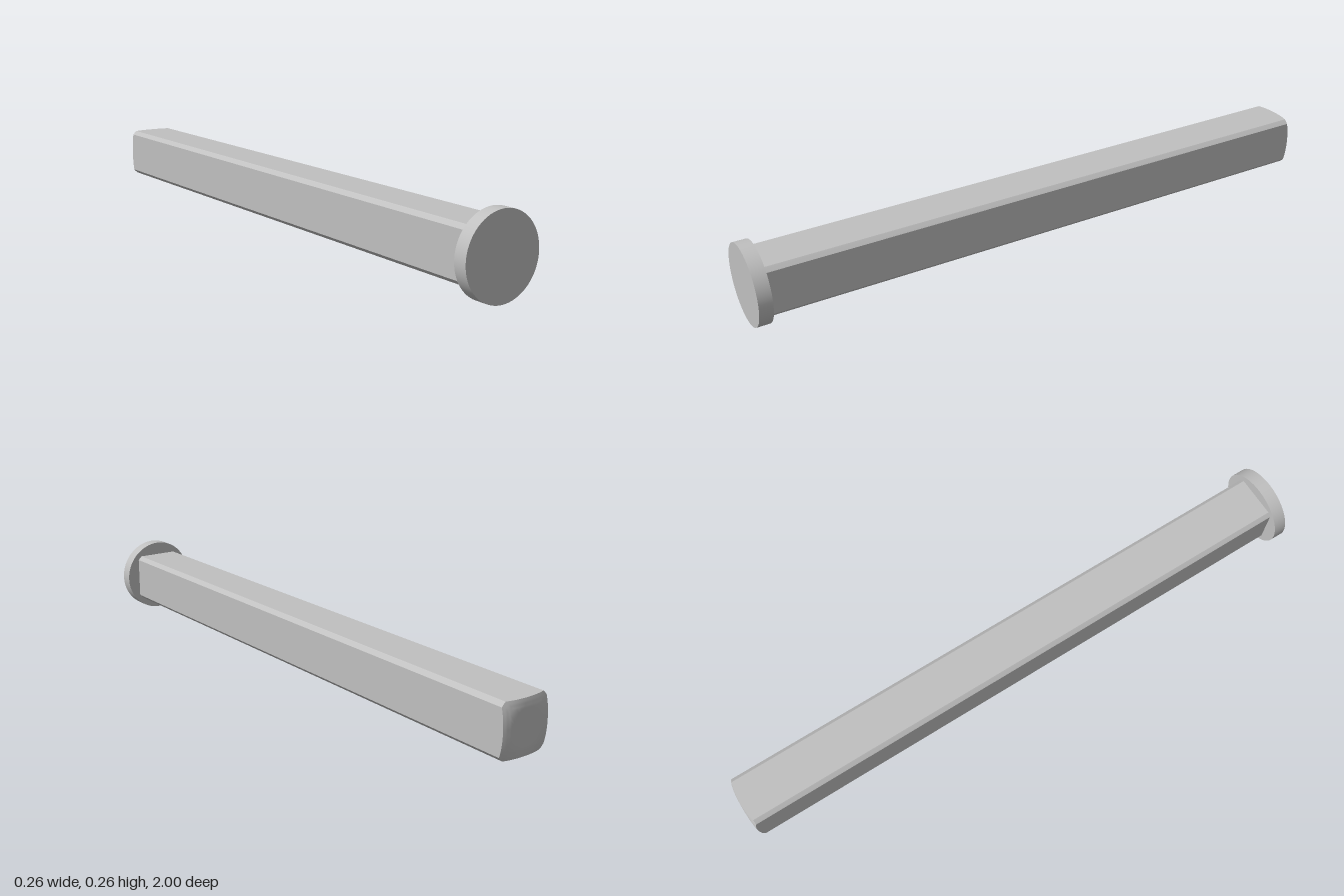
import * as THREE from 'three';
import { toCreasedNormals } from 'three/addons/utils/BufferGeometryUtils.js';

const AXIS_Y = 0.128;
const HALF = 0.083;        // half width of the square bar
const CORNER_R = 0.1085;   // radius of the turned corners
const HEAD_R = 0.128;
const HEAD_BACK = 0.957;

// Square outline whose corners are trimmed by a circle, counter-clockwise
function barOutline() {
  const points = [];
  const reach = Math.sqrt(CORNER_R ** 2 - HALF ** 2);
  const start = Math.atan2(reach, HALF);
  const sideSteps = 12, arcSteps = 3;
  for (let q = 0; q < 4; q++) {
    const turn = q * Math.PI / 2;
    const add = (x, y) => points.push(new THREE.Vector2(x, y).rotateAround(new THREE.Vector2(), turn));
    for (let i = 0; i < sideSteps; i++) add(HALF, reach * (2 * i / sideSteps - 1));
    for (let i = 0; i < arcSteps; i++) {
      const a = start + (Math.PI / 2 - 2 * start) * i / arcSteps;
      add(CORNER_R * Math.cos(a), CORNER_R * Math.sin(a));
    }
  }
  return points;
}

// The far end is flat in the middle and falls away towards the corners
const endZ = r => -1 + 4.5 * Math.max(0, r - 0.055) ** 2;

function barGeometry() {
  const outline = barOutline(), n = outline.length, rings = 12;
  const positions = [], index = [];
  // Rings of the rounded end, then one ring inside the head
  for (let k = 0; k <= rings + 1; k++) {
    const s = Math.min(1, k / rings);
    for (const p of outline) {
      const z = k > rings ? HEAD_BACK + 0.01 : endZ(p.length() * s);
      positions.push(p.x * s, p.y * s, z);
    }
  }
  for (let k = 0; k <= rings; k++) {
    for (let i = 0; i < n; i++) {
      const j = (i + 1) % n;
      const a = k * n + i, b = k * n + j, c = a + n, d = b + n;
      if (k > 0) index.push(a, b, d);
      index.push(a, d, c);
    }
  }
  const geometry = new THREE.BufferGeometry();
  geometry.setAttribute('position', new THREE.Float32BufferAttribute(positions, 3));
  geometry.setIndex(index);
  return toCreasedNormals(geometry, 0.5);
}

export function createModel() {
  const steel = new THREE.MeshStandardMaterial({ color: 0xc0c0c0 });
  steel.name = 'steel grey';
  const group = new THREE.Group();
  group.name = 'squarePin';

  // Square shank
  const shank = new THREE.Mesh(barGeometry(), steel);
  shank.name = 'shank';
  shank.position.y = AXIS_Y;
  group.add(shank);

  // Round flat head at the front
  const thickness = 1 - HEAD_BACK;
  const head = new THREE.Mesh(new THREE.CylinderGeometry(HEAD_R, HEAD_R, thickness, 64), steel);
  head.name = 'head';
  head.rotation.x = Math.PI / 2;
  head.position.set(0, AXIS_Y, 1 - thickness / 2);
  group.add(head);

  return group;
}
